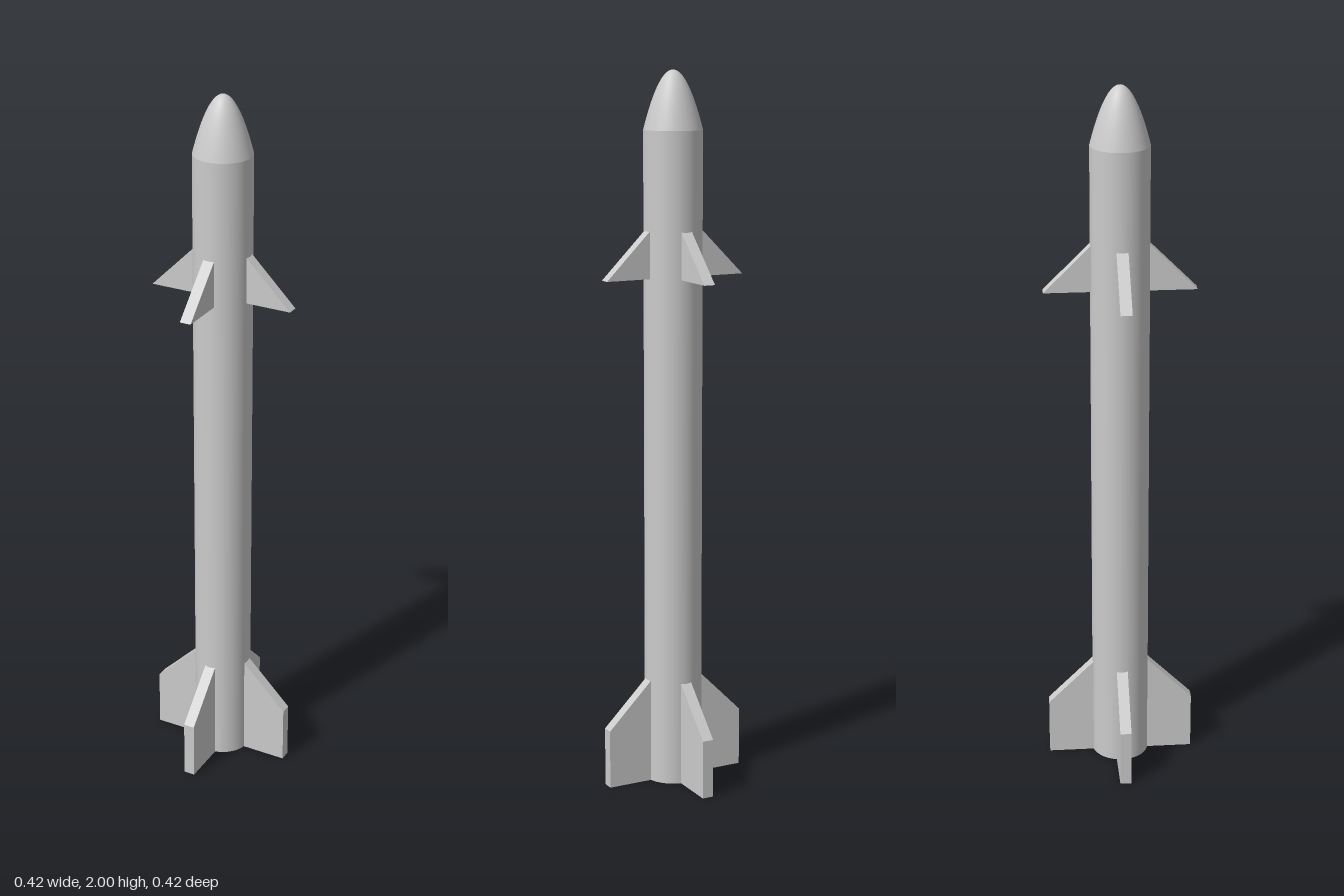
import * as THREE from 'three';

const RADIUS = 0.081, SHOULDER = 1.84, TOP = 2, FIN_SPAN = 0.209, FIN_THICKNESS = 0.032;
const material = new THREE.MeshStandardMaterial({ color: 0xcccccc });

function addMesh(parent, name, geometry) {
  const mesh = new THREE.Mesh(geometry, material);
  mesh.name = name;
  parent.add(mesh);
  return mesh;
}

// Four identical fins around the body, extruded from an outline in (radius, height)
function addFins(parent, name, outline) {
  const shape = new THREE.Shape(outline.map(([r, y]) => new THREE.Vector2(r, y)));
  const geometry = new THREE.ExtrudeGeometry(shape, { depth: FIN_THICKNESS, bevelEnabled: false });
  geometry.translate(0, 0, -FIN_THICKNESS / 2);
  const group = new THREE.Group();
  group.name = name + 's';
  for (let i = 0; i < 4; i++) {
    addMesh(group, name, geometry).rotation.y = i * Math.PI / 2;
  }
  parent.add(group);
}

export function createModel() {
  const model = new THREE.Group();
  model.name = 'rocket';

  // Straight tube with a flat base
  const body = new THREE.CylinderGeometry(RADIUS, RADIUS, SHOULDER, 64);
  body.translate(0, SHOULDER / 2, 0);
  addMesh(model, 'body', body);

  // Parabolic nose, meeting the body at a slight crease
  const profile = [];
  for (let i = 0; i <= 20; i++) {
    const t = 1 - i / 20;
    profile.push(new THREE.Vector2(RADIUS * t, TOP - (TOP - SHOULDER) * t * t));
  }
  addMesh(model, 'noseCone', new THREE.LatheGeometry(profile, 64));

  // Triangular fins near the nose, roots sunk into the body
  const root = RADIUS - 0.004;
  addFins(model, 'upperFin', [[root, 1.44], [FIN_SPAN, 1.44], [root, 1.572]]);

  // Clipped fins at the base
  addFins(model, 'tailFin', [[root, 0], [FIN_SPAN, 0], [FIN_SPAN, 0.167], [root, 0.299]]);

  return model;
}
